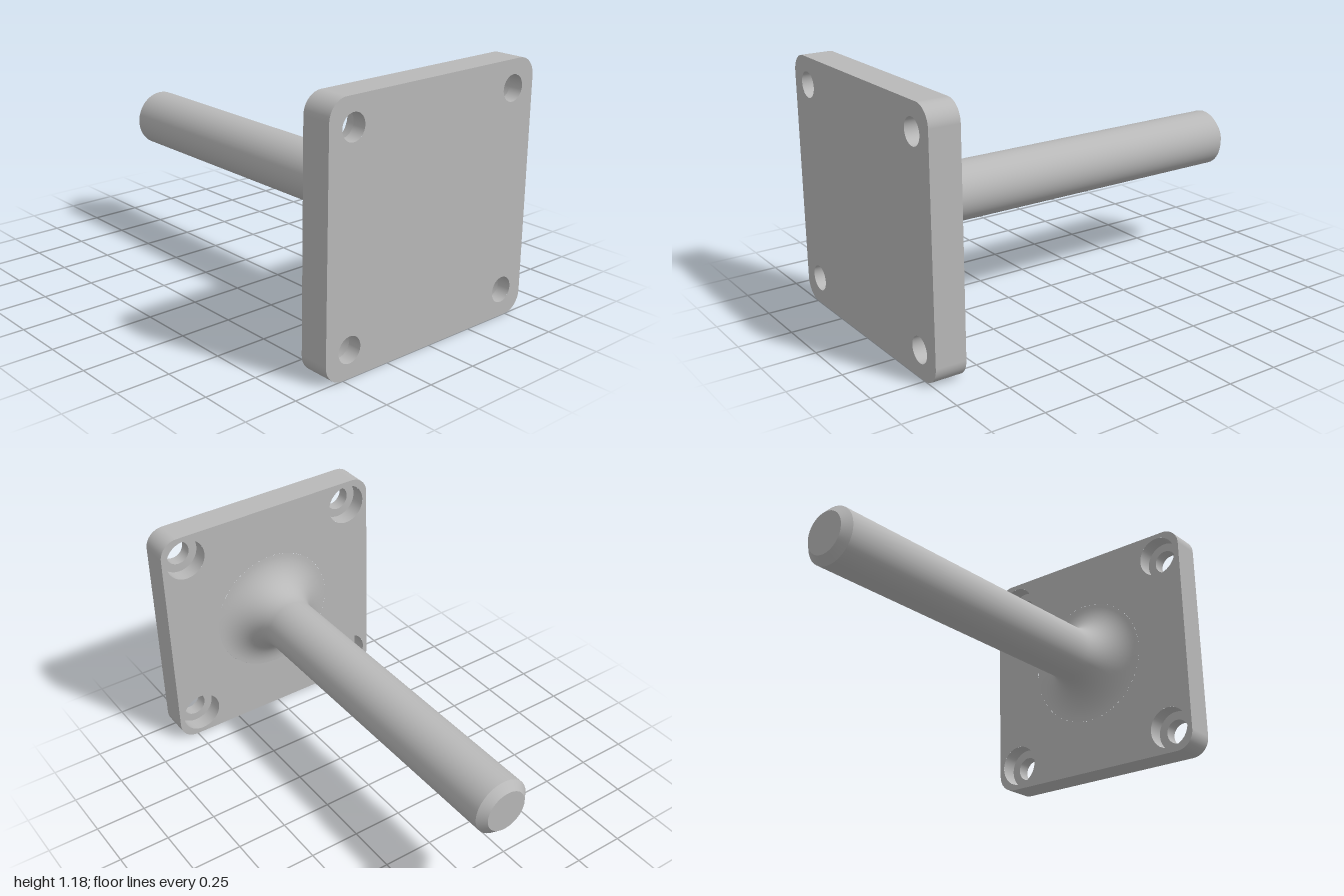
import * as THREE from 'three';

const HALF = 0.5925, CORNER = 0.09;              // square plate
const FRONT = 1, BACK = 0.855, LEDGE = 0.935;    // plate depth levels along z
const HOLE = 0.465, BORE = 0.06, COUNTERBORE = 0.103;
const SHAFT = 0.137, FILLET = 0.185, CHAMFER = 0.036, END = -1;
const SEG = 48;

const steel = new THREE.MeshStandardMaterial({ color: 0xb8b8b8 });
steel.name = 'grey metal';

function add(parent, name, geometry) {
  const mesh = new THREE.Mesh(geometry, steel);
  mesh.name = name;
  parent.add(mesh);
  return mesh;
}

// Surface of revolution around z from [radius, z] pairs
function turned(profile) {
  const points = profile.map(([r, z]) => new THREE.Vector2(r, z));
  return new THREE.LatheGeometry(points, SEG).rotateX(Math.PI / 2);
}

// Rounded square outline, counterclockwise, with outward normals
function outline() {
  const points = [], n = 12, c = HALF - CORNER;
  for (let q = 0; q < 4; q++) {
    const sx = q === 0 || q === 3 ? 1 : -1, sy = q < 2 ? 1 : -1;
    for (let i = 0; i <= n; i++) {
      const a = (q + i / n) * Math.PI / 2, nx = Math.cos(a), ny = Math.sin(a);
      points.push({ x: sx * c + CORNER * nx, y: sy * c + CORNER * ny, nx, ny });
    }
  }
  return points;
}

const corners = [[1, 1], [-1, 1], [-1, -1], [1, -1]].map(([x, y]) => [x * HOLE, y * HOLE]);

// Flat plate face with a round opening for each [x, y, radius]
function plateFace(openings) {
  const shape = new THREE.Shape(outline().map(p => new THREE.Vector2(p.x, p.y)));
  for (const [x, y, r] of openings) {
    shape.holes.push(new THREE.Path().absarc(x, y, r, 0, Math.PI * 2, true));
  }
  return new THREE.ShapeGeometry(shape, SEG);
}

// Side wall that follows the outline
function plateRim() {
  const pts = outline(), position = [], normal = [], index = [];
  for (let i = 0; i <= pts.length; i++) {
    const p = pts[i % pts.length];
    position.push(p.x, p.y, BACK, p.x, p.y, FRONT);
    normal.push(p.nx, p.ny, 0, p.nx, p.ny, 0);
    if (i < pts.length) {
      const a = i * 2;
      index.push(a, a + 2, a + 3, a, a + 3, a + 1);
    }
  }
  const g = new THREE.BufferGeometry();
  g.setAttribute('position', new THREE.Float32BufferAttribute(position, 3));
  g.setAttribute('normal', new THREE.Float32BufferAttribute(normal, 3));
  g.setIndex(index);
  return g;
}

export function createModel() {
  const model = new THREE.Group();
  model.name = 'flangedPost';

  // Mounting plate
  const plate = new THREE.Group();
  plate.name = 'mountingPlate';
  model.add(plate);
  add(plate, 'plateFront', plateFace(corners.map(([x, y]) => [x, y, BORE]))).position.z = FRONT;
  const back = plateFace([...corners.map(([x, y]) => [x, y, COUNTERBORE]), [0, 0, SHAFT + FILLET]]);
  add(plate, 'plateBack', back.rotateY(Math.PI)).position.z = BACK;
  add(plate, 'plateRim', plateRim());

  // Counterbored screw holes, wide side at the back
  const bore = turned([[BORE, FRONT], [BORE, LEDGE]]);
  const ledge = turned([[BORE, LEDGE], [COUNTERBORE, LEDGE]]);
  const counterbore = turned([[COUNTERBORE, LEDGE], [COUNTERBORE, BACK]]);
  for (const [x, y] of corners) {
    const hole = new THREE.Group();
    hole.name = 'screwHole';
    hole.position.set(x, y, 0);
    add(hole, 'bore', bore);
    add(hole, 'ledge', ledge);
    add(hole, 'counterbore', counterbore);
    plate.add(hole);
  }

  // Shaft flowing into the plate through a fillet
  const post = new THREE.Group();
  post.name = 'post';
  model.add(post);
  const body = [[SHAFT, END + CHAMFER]], n = 16;
  for (let i = 0; i <= n; i++) {
    const a = (i / n) * Math.PI / 2;
    body.push([SHAFT + FILLET * (1 - Math.cos(a)), BACK - FILLET * (1 - Math.sin(a))]);
  }
  add(post, 'shaft', turned(body));
  add(post, 'shaftChamfer', turned([[SHAFT - CHAMFER, END], [SHAFT, END + CHAMFER]]));
  add(post, 'shaftEnd', turned([[0, END], [SHAFT - CHAMFER, END]]));

  model.position.y = HALF;
  return model;
}
